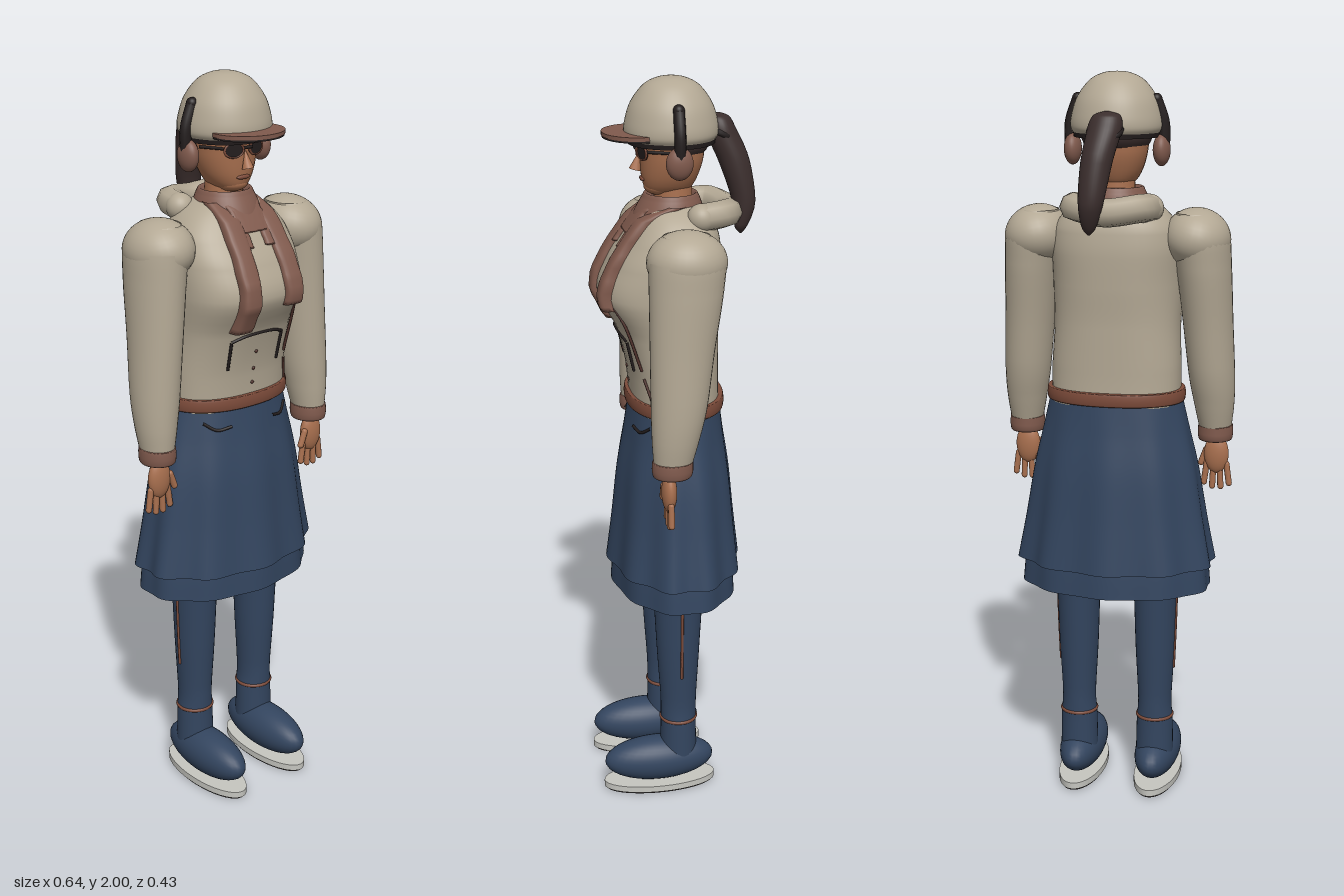
import * as THREE from 'three';
import { ParametricGeometry } from 'three/addons/geometries/ParametricGeometry.js';

const mat = (name, color, side = THREE.FrontSide) =>
  Object.assign(new THREE.MeshStandardMaterial({ color, side }), { name });

// Monotone interpolation of one column of a section table; t runs over row indices
function column(rows, c, t) {
  const i = Math.min(Math.floor(t), rows.length - 2), f = t - i;
  const d = (k) => (rows[k + 1] && rows[k] ? rows[k + 1][c] - rows[k][c] : 0);
  const slope = (a, b) => (a * b > 0 ? (2 * a * b) / (a + b) : 0);
  const d1 = d(i);
  const m0 = i > 0 ? slope(d(i - 1), d1) : d1;
  const m1 = i < rows.length - 2 ? slope(d1, d(i + 1)) : d1;
  const f2 = f * f, f3 = f2 * f;
  return rows[i][c] + m0 * (f3 - 2 * f2 + f) + d1 * (3 * f2 - 2 * f3) + m1 * (f3 - f2);
}

// Body through rows of [y, centre x, half width, front z, back z], listed bottom to top
function loft(rows, { n = 2, around = 32, per = 4, ripple = () => 1 } = {}) {
  return new ParametricGeometry((u, v, p) => {
    const t = v * (rows.length - 1), a = u * Math.PI * 2;
    const [y, cx, w, f, b] = [0, 1, 2, 3, 4].map((c) => column(rows, c, t));
    const pw = (s) => Math.sign(s) * Math.abs(s) ** (2 / n);
    const k = ripple(a, v);
    p.set(cx + w * k * pw(Math.sin(a)), y, (f + b) / 2 + ((f - b) / 2) * k * pw(Math.cos(a)));
  }, around, (rows.length - 1) * per);
}

// Front z of such a body at x, y
function frontZ(rows, x, y, n = 2) {
  let lo = 0, hi = rows.length - 1;
  for (let i = 0; i < 30; i++) {
    const mid = (lo + hi) / 2;
    if (column(rows, 0, mid) < y) lo = mid; else hi = mid;
  }
  const [cx, w, f, b] = [1, 2, 3, 4].map((c) => column(rows, c, lo));
  const r = Math.min(1, Math.abs((x - cx) / w));
  return (f + b) / 2 + ((f - b) / 2) * (1 - r ** n) ** (1 / n);
}

const TORSO = [[1.13, 0, .176, .11, -.122], [1.22, 0, .175, .117, -.12], [1.34, 0, .17, .145, -.12],
  [1.45, 0, .176, .195, -.125], [1.53, 0, .177, .168, -.127], [1.59, 0, .168, .13, -.122],
  [1.64, 0, .135, .095, -.105], [1.67, 0, .095, .07, -.08], [1.69, 0, .05, .045, -.05]];
const SKIRT = [[.68, 0, .272, .177, -.183], [.8, 0, .25, .163, -.17], [.95, 0, .225, .147, -.155],
  [1.06, 0, .2, .128, -.138], [1.14, 0, .182, .115, -.127]];
const HEAD = [[1.705, 0, .025, .055, -.03], [1.715, 0, .045, .068, -.05], [1.75, 0, .068, .078, -.07],
  [1.8, 0, .082, .082, -.084], [1.86, 0, .087, .085, -.088], [1.92, 0, .07, .07, -.07]];

export function createModel() {
  const M = {
    cream: mat('cream cloth', 0xb3a894, THREE.DoubleSide),
    navy: mat('navy cloth', 0x33455f, THREE.DoubleSide),
    brown: mat('dusty brown', 0x805a4d, THREE.DoubleSide),
    belt: mat('belt brown', 0x7c4b3a),
    skin: mat('skin', 0xa9704f),
    hair: mat('dark hair', 0x3b2e2d),
    dark: mat('dark trim', 0x231d1d),
    maroon: mat('maroon seam', 0x4e302a),
    sole: mat('pale sole', 0xc6c6c0),
  };
  const model = new THREE.Group();
  const add = (name, geo, m, pos = [0, 0, 0], scale = [1, 1, 1], rot = [0, 0, 0]) => {
    const mesh = new THREE.Mesh(geo, m);
    mesh.name = name;
    mesh.position.set(...pos);
    mesh.scale.set(...scale);
    mesh.rotation.set(...rot);
    model.add(mesh);
    return mesh;
  };
  const ball = new THREE.SphereGeometry(1, 32, 20);
  const disc = new THREE.CylinderGeometry(1, 1, 1, 40);
  const tube = (pts, r, seg = 24) =>
    new THREE.TubeGeometry(new THREE.CatmullRomCurve3(pts.map((p) => new THREE.Vector3(...p))), seg, r, 8);
  // Thin seam lying on the front of a body
  const seam = (name, rows, n, pts, m) =>
    add(name, tube(pts.map(([x, y]) => [x, y, frontZ(rows, x, y, n) + .002]), .004), m);

  // Jumper and belt
  add('jumper', loft(TORSO, { n: 2.4, around: 48, per: 5 }), M.cream);
  add('belt', loft([[1.135, 0, .17, .1, -.12], [1.135, 0, .186, .122, -.134], [1.152, 0, .189, .125, -.137],
    [1.17, 0, .186, .122, -.134], [1.17, 0, .17, .1, -.12]], { n: 2.2, around: 48 }), M.belt);
  seam('pocketTop', TORSO, 2.4, [[-.085, 1.33], [-.045, 1.343], [.045, 1.343], [.085, 1.33]], M.dark);
  for (const s of [-1, 1]) seam('pocketSide', TORSO, 2.4, [[s * .085, 1.33], [s * .083, 1.25]], M.dark);
  seam('zipUpper', TORSO, 2.4, [[.09, 1.45], [.115, 1.39], [.122, 1.26]], M.maroon);
  seam('zipLower', TORSO, 2.4, [[.125, 1.24], [.147, 1.17]], M.maroon);
  for (const y of [1.2, 1.24, 1.29])
    add('stud', ball, M.maroon, [0, y, frontZ(TORSO, 0, y)], [.005, .005, .004]);

  // Hood lying on the nape
  add('hood', tube([[-.1, 1.655, -.06], [-.085, 1.66, -.12], [0, 1.65, -.15], [.085, 1.66, -.12], [.1, 1.655, -.06]],
    .037), M.cream);
  for (const s of [-1, 1]) add('hoodEnd', ball, M.cream, [s * .1, 1.655, -.06], [.037, .037, .037]);

  // Scarf: collar, bib and two hanging tails
  add('scarfCollar', loft([[1.625, 0, .095, .11, -.095], [1.66, 0, .088, .095, -.085], [1.69, 0, .077, .078, -.075],
    [1.705, 0, .068, .068, -.066], [1.69, 0, .055, .055, -.055]], { around: 40 }), M.brown);
  const hang = (name, x, w, y0, y1, thick, shift) => {
    const rows = [];
    for (let i = 0; i <= 8; i++) {
      const y = y0 + ((y1 - y0) * i) / 8, z = frontZ(TORSO, x, y, 2.4);
      rows.push([y, x + shift * (i / 8) ** 2, w * (1 - .06 * (i % 2)), z + thick, z - .025]);
    }
    const end = rows[0];
    rows.unshift([y0, end[1], .002, end[3] - thick, end[4]]);
    add(name, loft(rows, { n: 3.5, around: 24, per: 2 }), M.brown);
  };
  hang('scarfTailRight', -.068, .03, 1.36, 1.68, .022, .012);
  hang('scarfTailLeft', .074, .03, 1.42, 1.68, .022, -.015);
  hang('scarfBib', 0, .055, 1.61, 1.69, .012, 0);
  for (const s of [-1, 1]) hang('scarfFold', s * .036, .016, 1.575, 1.67, .012, 0);

  // Skirt with soft folds and an under layer
  const fold = (a, v) => 1 + .035 * (1 - v) * Math.cos(10 * a);
  add('skirt', loft(SKIRT, { around: 100, per: 5, ripple: fold }), M.navy);
  add('underSkirt', loft([[.61, 0, .262, .167, -.173], [.68, 0, .255, .163, -.168], [.76, 0, .238, .15, -.157]],
    { around: 100, ripple: (a) => 1 + .018 * Math.cos(10 * a) }), M.navy);
  for (const s of [-1, 1])
    seam('skirtPocket', SKIRT, 2, [[s * .14, 1.105], [s * .11, 1.085], [s * .07, 1.09]], M.dark);

  for (const s of [-1, 1]) {
    const mirror = (rows) => rows.map(([y, x, ...r]) => [y, s * x, ...r]);
    // Sleeve, shoulder cap and cuff
    add('sleeve', loft(mirror([[1.05, .265, .043, .095, -.005], [1.12, .262, .054, .099, -.025],
      [1.2, .256, .062, .1, -.045], [1.35, .245, .067, .1, -.066], [1.5, .234, .073, .1, -.09],
      [1.58, .226, .076, .1, -.098], [1.64, .21, .05, .06, -.06]])), M.cream);
    add('shoulderCap', ball, M.cream, [s * .216, 1.573, 0], [.089, .08, .103], [0, 0, s * -.2]);
    add('cuff', loft(mirror([[1.02, .265, .02, .06, .03], [1.02, .265, .044, .095, -.002], [1.04, .265, .048, .1, -.008],
      [1.062, .265, .046, .098, -.008], [1.062, .265, .03, .08, .01]])), M.brown);
    // Hand
    add('palm', ball, M.skin, [s * .267, .975, .055], [.034, .055, .02]);
    [-.027, -.009, .009, .027].forEach((dx, i) =>
      add('finger', new THREE.CapsuleGeometry(.0085, .055, 4, 10), M.skin,
        [s * (.268 + dx * 1.15), .92 - (i === 1 || i === 2 ? .01 : 0), .055], [1, 1, 1], [0, 0, s * dx * 5]));
    add('thumb', new THREE.CapsuleGeometry(.009, .04, 4, 10), M.skin, [s * .231, .965, .064], [1, 1, 1], [0, 0, s * -.35]);

    // Leg, ankle trim, shoe and sole
    add('leg', loft(mirror([[.1, .11, .053, .052, -.052], [.2, .11, .051, .05, -.05], [.26, .11, .047, .05, -.05],
      [.42, .11, .055, .06, -.058], [.6, .11, .061, .07, -.068], [.95, .1, .085, .09, -.09]])), M.navy);
    add('ankleTrim', new THREE.TorusGeometry(.049, .005, 8, 32), M.belt, [s * .11, .215, 0], [1, 1, 1], [Math.PI / 2, 0, 0]);
    add('sideStripe', tube([[s * .163, .36, 0], [s * .1675, .48, 0], [s * .171, .62, 0]], .004), M.belt);
    add('shoe', ball, M.navy, [s * .11, .084, .056], [.062, .065, .156]);
    add('sole', disc, M.sole, [s * .11, .014, .055], [.064, .018, .16]);
    add('soleEdge', disc, M.dark, [s * .11, .0035, .055], [.06, .007, .155]);

    // Ear cup and its band
    add('earCup', ball, M.brown, [s * .119, 1.8, 0], [.023, .042, .035]);
    add('earBand', tube([[s * .126, 1.8, 0], [s * .125, 1.87, 0], [s * .105, 1.93, 0]], .015), M.dark);
    add('earBandTip', ball, M.dark, [s * .105, 1.93, 0], [.015, .015, .015]);

    // Glasses
    const z = frontZ(HEAD, .036, 1.815);
    add('lens', disc, M.dark, [s * .036, 1.815, z + .005], [.027, .006, .019], [Math.PI / 2, 0, s * -.25]);
    add('lensRim', new THREE.TorusGeometry(.024, .003, 6, 24), M.belt, [s * .036, 1.815, z + .007], [1.1, .78, 1], [0, s * .25, 0]);
    add('glassesArm', tube([[s * .06, 1.82, z - .004], [s * .09, 1.82, .01]], .004), M.dark);
  }

  // Head and face
  add('neck', new THREE.CylinderGeometry(.048, .052, .1, 24), M.skin, [0, 1.69, -.005]);
  add('head', loft(HEAD, { n: 2.1 }), M.skin);
  add('chin', ball, M.skin, [0, 1.722, .03], [.042, .024, .042]);
  add('nose', new THREE.ConeGeometry(.016, .05, 12), M.skin, [0, 1.79, .088], [1, 1, 1], [-.25, 0, 0]);
  add('mouth', ball, M.belt, [0, 1.742, .076], [.022, .006, .006]);
  add('glassesBridge', tube([[-.014, 1.82, .092], [.014, 1.82, .092]], .004), M.dark);

  // Hair at the back and ponytail
  add('backHair', new THREE.SphereGeometry(1, 24, 16, Math.PI, Math.PI), M.hair, [0, 1.84, 0], [.095, .06, .1], [0, 0, 0]);
  add('ponytail', loft([[1.595, .035, .002, -.176, -.18], [1.61, .035, .016, -.163, -.192], [1.68, .028, .033, -.155, -.217],
    [1.78, .018, .041, -.122, -.203], [1.86, .004, .045, -.09, -.17], [1.895, 0, .034, -.095, -.15], [1.905, 0, .002, -.12, -.124]]), M.hair);
  add('hairTie', new THREE.TorusGeometry(.04, .009, 8, 24), M.dark, [.004, 1.855, -.128], [1, 1, 1], [1.1, 0, 0]);

  // Helmet with brim
  const dome = new THREE.SplineCurve([[.115, 1.845], [.122, 1.86], [.119, 1.89], [.104, 1.935], [.072, 1.977], [.035, 1.996], [0, 2]]
    .map((p) => new THREE.Vector2(...p))).getPoints(30).map((p) => p.set(Math.max(0, p.x), Math.min(2, p.y)));
  add('helmet', new THREE.LatheGeometry(dome, 48), M.cream);
  add('helmetBand', new THREE.CylinderGeometry(.116, .113, .018, 48), M.dark, [0, 1.842, 0]);
  add('brim', disc, M.brown, [0, 1.86, .09], [.1, .01, .09]);
  add('brimEdge', disc, M.dark, [0, 1.853, .09], [.098, .006, .088]);
  return model;
}
